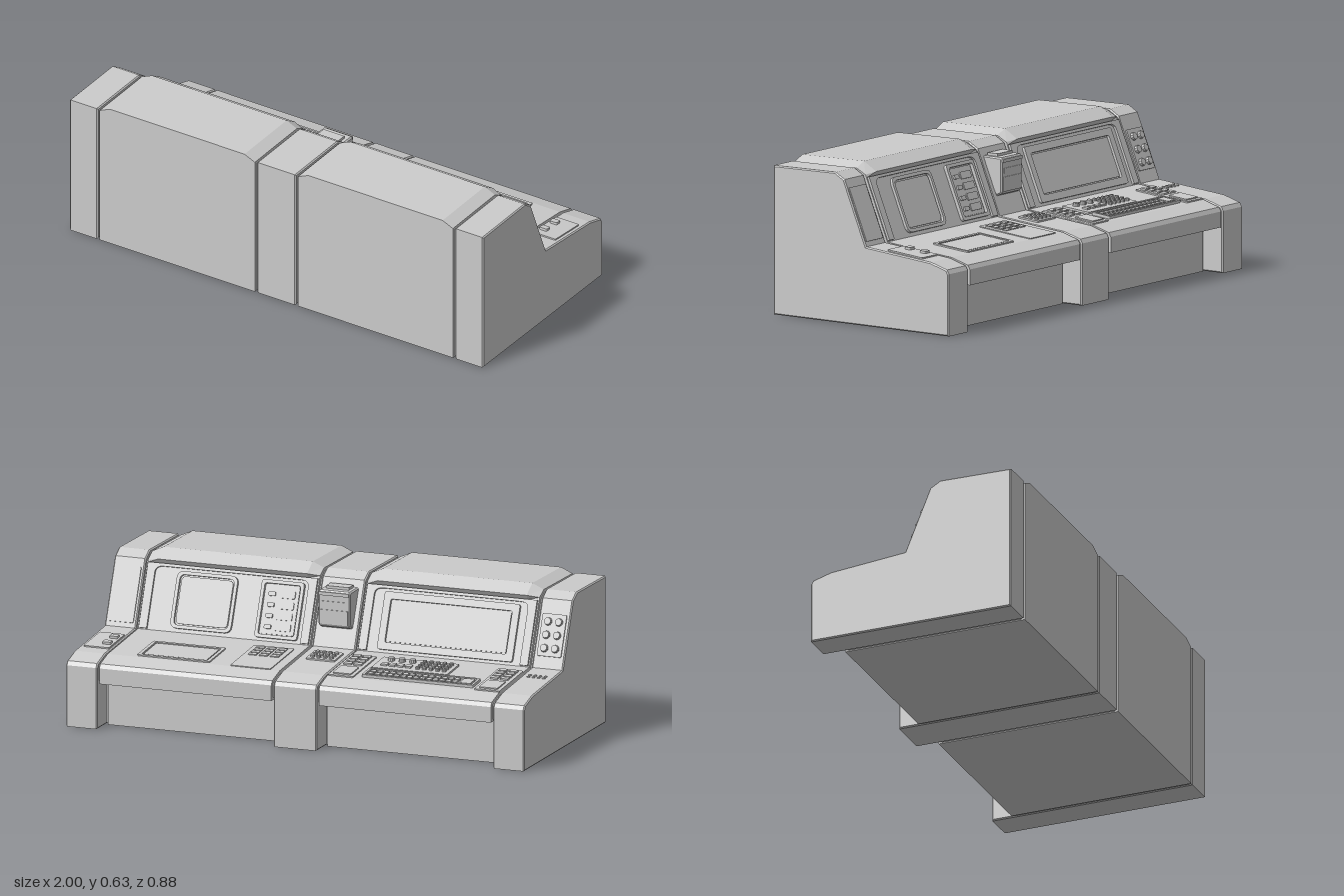
import * as THREE from 'three';

const mat = new THREE.MeshStandardMaterial({ color: 0xcccccc, flatShading: true });

function add(parent, name, geometry, x = 0, y = 0, z = 0) {
  const m = new THREE.Mesh(geometry, mat);
  m.name = name;
  m.position.set(x, y, z);
  parent.add(m);
  return m;
}

// Solid lofted along x through closed [z, y] cross-sections
function loft(sections) {
  const pos = [], n = sections[0].pts.length;
  const put = (s, i) => pos.push(s.x, s.pts[i][1], s.pts[i][0]);
  for (let k = 0; k + 1 < sections.length; k++) {
    const a = sections[k], b = sections[k + 1];
    for (let i = 0; i < n; i++) {
      const j = (i + 1) % n;
      put(a, i); put(b, i); put(b, j);
      put(a, i); put(b, j); put(a, j);
    }
  }
  const first = sections[0], last = sections[sections.length - 1];
  const tris = THREE.ShapeUtils.triangulateShape(first.pts.map(p => new THREE.Vector2(...p)), []);
  for (const [a, b, c] of tris) {
    put(first, a); put(first, b); put(first, c);
    put(last, a); put(last, c); put(last, b);
  }
  const g = new THREE.BufferGeometry();
  g.setAttribute('position', new THREE.Float32BufferAttribute(pos, 3));
  g.computeVertexNormals();
  return g;
}
const prism = (pts, x0, x1) => loft([{ x: x0, pts }, { x: x1, pts }]);

// Prism with small bevels on its side edges
function bevelled(pts, x0, x1, b = 0.005) {
  const shape = new THREE.Shape(pts.map(p => new THREE.Vector2(...p)));
  const g = new THREE.ExtrudeGeometry(shape, {
    depth: x1 - x0 - 2 * b, bevelThickness: b, bevelSize: b, bevelOffset: -b, bevelSegments: 1
  });
  return g.rotateY(-Math.PI / 2).translate(x1 - b, 0, 0);
}

function roundRect(path, w, d, r) {
  const x = w / 2, y = d / 2;
  path.moveTo(-x + r, -y).lineTo(x - r, -y).quadraticCurveTo(x, -y, x, -y + r)
    .lineTo(x, y - r).quadraticCurveTo(x, y, x - r, y)
    .lineTo(-x + r, y).quadraticCurveTo(-x, y, -x, y - r)
    .lineTo(-x, -y + r).quadraticCurveTo(-x, -y, -x + r, -y);
  return path;
}

// Flat shape laid on a surface frame: local x across, z up the slope, y outward
function raise(shape, h) {
  return new THREE.ExtrudeGeometry(shape, { depth: h, bevelEnabled: false, curveSegments: 4 })
    .rotateX(Math.PI / 2).translate(0, h, 0);
}
function plate(parent, name, x0, x1, z0, z1, h, base = 0, r = 0.006) {
  add(parent, name, raise(roundRect(new THREE.Shape(), x1 - x0, z1 - z0, r), h), (x0 + x1) / 2, base, (z0 + z1) / 2);
}
function rim(parent, name, x0, x1, z0, z1, t, h, r = 0.012) {
  const s = roundRect(new THREE.Shape(), x1 - x0, z1 - z0, r);
  s.holes.push(roundRect(new THREE.Path(), x1 - x0 - 2 * t, z1 - z0 - 2 * t, r * 0.7));
  add(parent, name, raise(s, h), (x0 + x1) / 2, 0, (z0 + z1) / 2);
}

// Grid of square keys or round buttons filling a rectangle
function keys(parent, name, x0, x1, z0, z1, nx, nz, h, base, round = false) {
  const dx = (x1 - x0) / nx, dz = (z1 - z0) / nz, r = Math.min(dx, dz) * 0.36;
  const geo = round ? new THREE.CylinderGeometry(r * 0.85, r, h, 10) : new THREE.BoxGeometry(dx * 0.74, h, dz * 0.74);
  for (let i = 0; i < nx; i++) for (let j = 0; j < nz; j++)
    add(parent, name, geo, x0 + (i + 0.5) * dx, base + h / 2, z0 + (j + 0.5) * dz);
}

function surface(parent, name, y, z, dy, dz) {
  const g = new THREE.Group();
  g.name = name;
  g.position.set(0, y, z);
  g.rotation.x = -Math.atan2(dy, dz);
  parent.add(g);
  return g;
}

export function createModel() {
  const root = new THREE.Group();
  root.name = 'controlConsole';

  // Cross-sections [z, y]
  const desk = [[-0.025, 0.325], [-0.35, 0.295], [-0.43, 0.272], [-0.44, 0.255]];
  const knee = [[-0.44, 0.19], [-0.35, 0.19]];
  const pillar = [[-0.44, 0], [0.44, 0], [0.44, 0.612], [0.13, 0.616], [0.085, 0.59], ...desk];
  const bay = (top, lip) => [[-0.35, 0], [0.44, 0], [0.44, top - 0.005], [0.13, top], lip, [0.08, 0.578], ...desk, ...knee];
  const low = bay(0.613, [0.085, 0.59]), high = bay(0.635, [0.068, 0.598]);
  const core = [[-0.335, 0.004], [0.425, 0.004], [0.425, 0.597], [0.135, 0.6], [0.1, 0.578], [-0.012, 0.31],
    [-0.35, 0.28], [-0.42, 0.26], [-0.42, 0.2], [-0.335, 0.2]];

  // Body modules with narrow grooves between them
  add(root, 'core', prism(core, -0.98, 0.98));
  for (const [x0, x1] of [[-1, -0.864], [-0.094, 0.094], [0.864, 1]]) add(root, 'pillar', bevelled(pillar, x0, x1));
  for (const [x0, x1] of [[-0.854, -0.104], [0.104, 0.854]])
    add(root, 'bay', loft([{ x: x0, pts: low }, { x: x0 + 0.05, pts: high }, { x: x1 - 0.05, pts: high }, { x: x1, pts: low }]));

  // Sloped upright surface, z = 0 at its foot
  const up = surface(root, 'uprightPanel', 0.325, -0.025, 0.265, 0.11);
  for (const s of [-1, 1]) {
    const a = new THREE.Shape();
    a.moveTo(-0.37, 0.004).lineTo(-0.335, 0.004).lineTo(-0.335, 0.235).quadraticCurveTo(-0.335, 0.262, -0.3, 0.262)
      .lineTo(0.3, 0.262).quadraticCurveTo(0.335, 0.262, 0.335, 0.235).lineTo(0.335, 0.004)
      .lineTo(0.37, 0.004).lineTo(0.37, 0.274).lineTo(-0.37, 0.274).closePath();
    add(up, 'bayFrame', raise(a, 0.01), s * 0.479);
  }
  // Large screen
  rim(up, 'largeScreenFrame', -0.78, -0.19, 0.012, 0.25, 0.03, 0.012);
  plate(up, 'largeScreen', -0.745, -0.225, 0.047, 0.215, 0.005);
  // Small monitor
  rim(up, 'monitorFrame', 0.45, 0.715, 0.015, 0.25, 0.014, 0.012, 0.03);
  plate(up, 'monitorScreen', 0.47, 0.695, 0.035, 0.23, 0.006, 0, 0.02);
  // Slider panel
  rim(up, 'sliderFrame', 0.16, 0.345, 0.012, 0.25, 0.014, 0.014, 0.015);
  plate(up, 'sliderPlate', 0.18, 0.325, 0.03, 0.232, 0.004);
  for (let i = 0; i < 4; i++) {
    plate(up, 'sliderTrack', 0.195, 0.265, 0.045 + i * 0.045, 0.075 + i * 0.045, 0.009);
    plate(up, 'sliderKnob', 0.28, 0.31, 0.05 + i * 0.045, 0.068 + i * 0.045, 0.012);
  }
  // End panels
  plate(up, 'knobPlate', -0.985, -0.88, 0.05, 0.225, 0.006);
  keys(up, 'knob', -0.98, -0.885, 0.055, 0.22, 2, 3, 0.012, 0.006, true);
  plate(up, 'blankPlate', 0.877, 0.99, 0.02, 0.25, 0.005);

  // Hooded box on the centre pillar
  const box = [[0.01, 0.4], [0.09, 0.56], [-0.014, 0.56], [-0.02, 0.553], [-0.02, 0.42], [-0.014, 0.41]];
  add(root, 'centreBox', bevelled(box, -0.07, 0.07, 0.006));
  add(root, 'boxTop', new THREE.BoxGeometry(0.1, 0.012, 0.05), 0, 0.565, 0.04);
  add(root, 'boxLip', new THREE.BoxGeometry(0.13, 0.014, 0.012), 0, 0.547, -0.02);
  add(root, 'boxSlot', new THREE.BoxGeometry(0.11, 0.022, 0.006), 0, 0.505, -0.02);
  add(root, 'boxDoor', new THREE.BoxGeometry(0.12, 0.06, 0.006), 0, 0.45, -0.02);

  // Desk surface, local z close to world z
  const top = surface(root, 'deskPanel', 0.327, 0, 0.03, 0.325);
  // Keyboard
  rim(top, 'keyboardFrame', -0.73, -0.245, -0.33, -0.24, 0.01, 0.012, 0.006);
  plate(top, 'keyboardBase', -0.72, -0.255, -0.32, -0.25, 0.004);
  plate(top, 'wideKey', -0.712, -0.665, -0.313, -0.257, 0.012);
  keys(top, 'key', -0.655, -0.26, -0.315, -0.255, 14, 2, 0.008, 0.004);
  // Button and switch panel
  plate(top, 'buttonPlate', -0.575, -0.245, -0.225, -0.09, 0.008);
  keys(top, 'roundButton', -0.565, -0.42, -0.205, -0.1, 5, 4, 0.01, 0.008, true);
  keys(top, 'rocker', -0.41, -0.27, -0.2, -0.165, 4, 1, 0.007, 0.008);
  keys(top, 'toggle', -0.41, -0.27, -0.145, -0.105, 3, 1, 0.014, 0.008, true);
  // Side keypads of the large-screen bay
  for (const [x0, x1] of [[-0.855, -0.745], [-0.215, -0.107]]) {
    plate(top, 'keypadPlate', x0, x1, -0.35, -0.09, 0.006);
    keys(top, 'keypadKey', x0 + 0.01, x1 - 0.01, -0.225, -0.1, 2, 4, 0.007, 0.006);
    plate(top, 'keypadDisplay', x0 + 0.015, x1 - 0.015, -0.335, -0.245, 0.005, 0.006);
  }
  // Centre buttons
  plate(top, 'centrePlate', -0.07, 0.055, -0.19, -0.09, 0.007);
  keys(top, 'centreButton', -0.062, 0.047, -0.183, -0.097, 4, 3, 0.008, 0.007, true);
  // Keypad and tablet of the monitor bay
  plate(top, 'touchPlate', 0.145, 0.32, -0.35, -0.09, 0.004);
  keys(top, 'touchKey', 0.16, 0.305, -0.215, -0.105, 3, 4, 0.004, 0.004);
  rim(top, 'tabletFrame', 0.415, 0.73, -0.34, -0.162, 0.014, 0.006, 0.008);
  plate(top, 'tablet', 0.435, 0.71, -0.32, -0.182, 0.004);
  // End switches
  plate(top, 'switchPlate', 0.872, 0.982, -0.295, -0.12, 0.006);
  for (const z of [-0.245, -0.17]) plate(top, 'switch', 0.88, 0.915, z - 0.014, z + 0.014, 0.01, 0.006);
  keys(top, 'indicator', -0.975, -0.885, -0.15, -0.11, 4, 2, 0.004, 0, true);
  return root;
}
